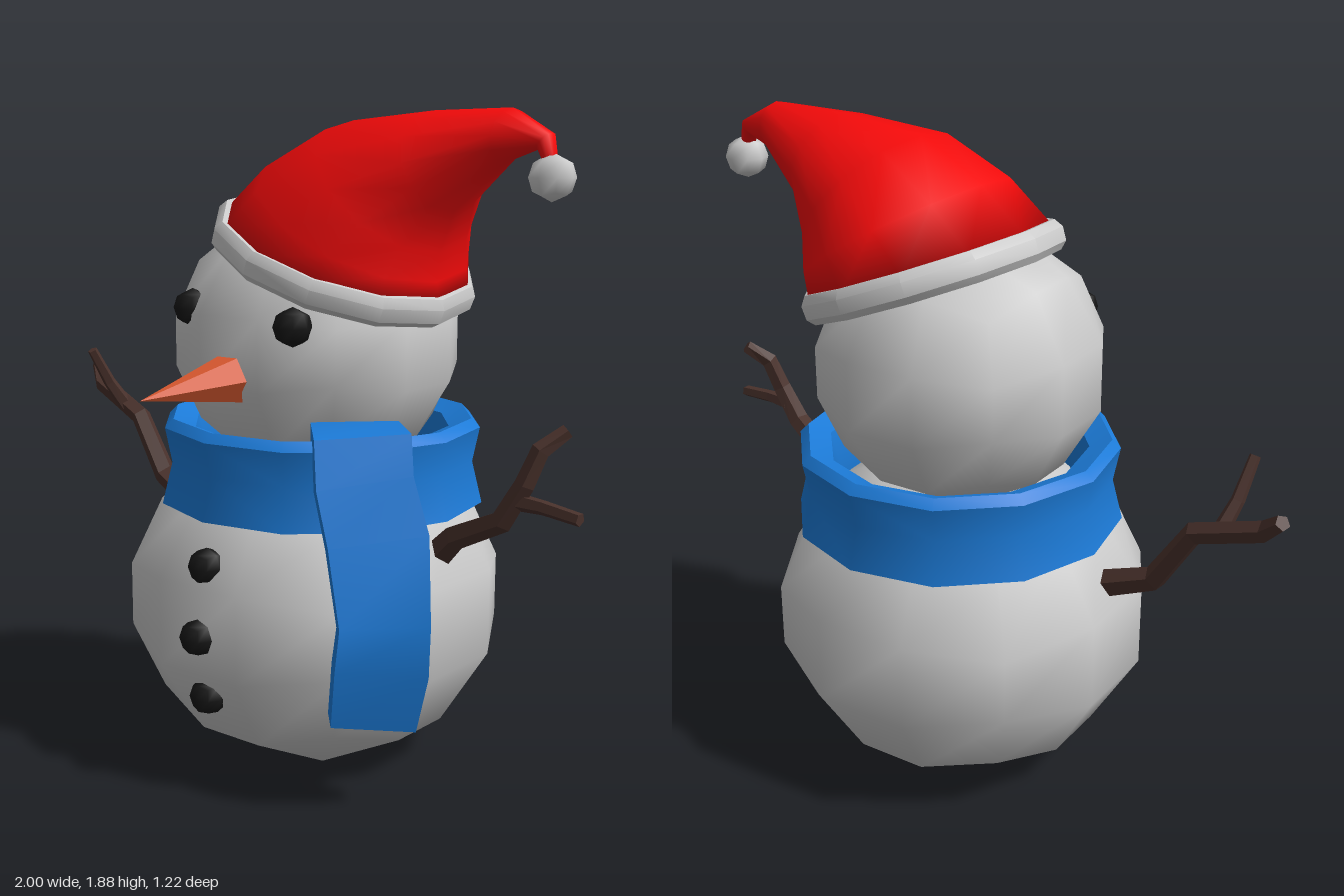
import * as THREE from 'three';
import { mergeVertices, toCreasedNormals } from 'three/addons/utils/BufferGeometryUtils.js';

const V = (x, y, z) => new THREE.Vector3(x, y, z);
const mat = (color, flatShading = false) => new THREE.MeshStandardMaterial({ color, flatShading });
const snow = mat(0xcccccc), red = mat(0xf20a0a), blue = mat(0x1c7bd8);
const coal = mat(0x151515), carrot = mat(0xd8582f), bark = mat(0x4a322c, true);

// Rounded cube: a box grid pushed onto a sphere
function ball(radius, seg) {
  let g = new THREE.BoxGeometry(2, 2, 2, seg, seg, seg);
  g.deleteAttribute('uv');
  g.deleteAttribute('normal');
  g = mergeVertices(g);
  const p = g.attributes.position, v = V(0, 0, 0), bend = c => Math.tan(c * Math.PI / 4);
  for (let i = 0; i < p.count; i++) {
    v.fromBufferAttribute(p, i);
    v.set(bend(v.x), bend(v.y), bend(v.z)).setLength(radius);
    p.setXYZ(i, v.x, v.y, v.z);
  }
  g.computeVertexNormals();
  return g;
}

// Cross-section around centre c, facing along t, with its first axis near side
function ring(c, t, side, ru, rv, n, phase = 0) {
  const v = t.clone().cross(side).normalize(), u = v.clone().cross(t).normalize();
  return Array.from({ length: n }, (_, i) => {
    const a = phase + i / n * Math.PI * 2;
    return c.clone().addScaledVector(u, Math.cos(a) * ru).addScaledVector(v, Math.sin(a) * rv);
  });
}

// Skin a row of cross-sections and close both ends
function loft(rings) {
  const n = rings[0].length, m = rings.length, pts = rings.flat(), idx = [];
  const mid = r => r.reduce((s, p) => s.add(p), V(0, 0, 0)).divideScalar(n);
  pts.push(mid(rings[0]), mid(rings[m - 1]));
  for (let i = 0; i < n; i++) {
    const j = (i + 1) % n, e = (m - 1) * n;
    for (let k = 0; k < e; k += n) idx.push(k + i, k + j, k + j + n, k + i, k + j + n, k + i + n);
    idx.push(m * n, j, i, m * n + 1, e + i, e + j);
  }
  const g = new THREE.BufferGeometry().setFromPoints(pts);
  g.setIndex(idx);
  g.computeVertexNormals();
  return g;
}

// Loft along a path of [x, y, z, halfWidth, halfThickness]
function sweep(path, side, n, phase) {
  const c = path.map(p => V(p[0], p[1], p[2]));
  return loft(path.map((p, i) => {
    const t = c[Math.min(i + 1, c.length - 1)].clone().sub(c[Math.max(i - 1, 0)]).normalize();
    return ring(c[i], t, side, p[3], p[4] ?? p[3], n, phase);
  }));
}

const band = (points, seg) => toCreasedNormals(
  new THREE.LatheGeometry(points.map(p => new THREE.Vector2(...p)), seg), 0.7);

export function createModel() {
  const model = new THREE.Group();
  const add = (name, geometry, material, x = 0, y = 0, z = 0) => {
    const mesh = new THREE.Mesh(geometry, material);
    mesh.name = name;
    mesh.position.set(x, y, z);
    model.add(mesh);
    return mesh;
  };

  // Snowballs, slightly squashed
  const body = add('body', ball(0.556, 3), snow, 0.03, 0.465, -0.09);
  body.scale.y = 0.9;
  body.rotation.y = 0.08;
  const head = add('head', ball(0.417, 3), snow, 0.03, 1.22, -0.095);
  head.scale.y = 0.95;
  head.rotation.y = 0.08;

  // Coal eyes and buttons
  add('rightEye', ball(0.054, 2), coal, -0.137, 1.325, 0.24);
  add('leftEye', ball(0.054, 2), coal, 0.248, 1.305, 0.235);
  [[0.645, 0.39], [0.45, 0.425], [0.27, 0.39]].forEach(([y, z]) =>
    add('button', ball(0.053, 2), coal, 0.073, y, z));

  // Carrot nose
  const nose = add('nose', new THREE.ConeGeometry(0.086, 0.39, 6), carrot, 0.058, 1.143, 0.41);
  nose.geometry = toCreasedNormals(nose.geometry, 0.6);
  nose.rotation.set(Math.PI / 2 + 0.06, 0, 0);
  nose.geometry.rotateY(Math.PI / 6);

  // Scarf wrapped round the neck
  add('scarfWrap', band([[0.36, 0.78], [0.475, 0.76], [0.445, 0.88], [0.465, 0.98],
    [0.44, 1.005], [0.375, 0.98], [0.35, 0.88], [0.36, 0.78]], 12), blue, 0.04, 0, -0.1);

  // Hanging scarf end, folded over the wrap
  const tail = [[0.27, 0.97, 0.03, 0.1], [0.35, 1.01, 0.1, 0.12], [0.42, 1.0, 0.15, 0.13],
    [0.445, 0.9, 0.17, 0.13], [0.495, 0.75, 0.17, 0.135], [0.555, 0.54, 0.21, 0.12],
    [0.545, 0.42, 0.21, 0.125], [0.51, 0.26, 0.2, 0.115]];
  const tailPath = tail.map(([x, y, z, w]) => [x, y, z, w * Math.SQRT2, 0.05]);
  add('scarfTail', toCreasedNormals(sweep(tailPath, V(0.66, 0, -0.75), 4, Math.PI / 4), 0.6), blue);

  // Branch arms, each with a forked twig
  const twigs = {
    rightArm: [[-0.4, 0.63, -0.04, 0.042], [-0.6, 0.72, -0.05, 0.036], [-0.715, 0.895, -0.05, 0.032],
      [-0.93, 0.975, -0.07, 0.03], [-0.99, 1.03, -0.1, 0.022]],
    rightTwig: [[-0.79, 0.92, -0.05, 0.025], [-0.81, 1.0, 0.0, 0.02], [-0.82, 1.11, 0.06, 0.016]],
    leftArm: [[0.48, 0.66, -0.11, 0.042], [0.58, 0.74, -0.06, 0.036], [0.76, 0.825, -0.02, 0.032],
      [0.82, 0.93, -0.03, 0.028], [0.85, 1.02, -0.05, 0.026], [0.895, 1.07, -0.1, 0.02]],
    leftTwig: [[0.79, 0.88, -0.03, 0.025], [0.88, 0.88, -0.025, 0.02], [0.995, 0.87, -0.02, 0.018]],
  };
  for (const [name, path] of Object.entries(twigs)) add(name, sweep(path, V(0, 0, 1), 5, 0.3), bark);

  // Drooping hat: [x, y, z, heading in degrees, half height, half depth]
  const hat = [[0.15, 1.49, -0.085, 69, 0.355, 0.365], [0.22, 1.575, -0.085, 58, 0.3, 0.345],
    [0.325, 1.666, -0.087, 42, 0.232, 0.275], [0.48, 1.735, -0.1, 15, 0.135, 0.18],
    [0.668, 1.803, -0.125, -7, 0.07, 0.08], [0.772, 1.79, -0.138, -45, 0.028, 0.03],
    [0.79, 1.73, -0.14, -85, 0.018, 0.018]];
  add('hat', loft(hat.map(([x, y, z, deg, h, d]) => {
    const a = THREE.MathUtils.degToRad(deg);
    return ring(V(x, y, z), V(Math.cos(a), Math.sin(a), 0), V(0, 0, 1), d, h, 12);
  })), red);

  // Fluffy brim and bobble
  const brim = add('hatBrim', band([[0.33, -0.035], [0.36, -0.045], [0.38, -0.025], [0.382, 0.015],
    [0.365, 0.04], [0.33, 0.04], [0.33, -0.035]], 12), snow, 0.14, 1.465, -0.085);
  brim.rotation.z = -0.37;
  brim.scale.z = 1.02;
  add('bobble', ball(0.062, 2), snow, 0.794, 1.7, -0.14);

  return model;
}
